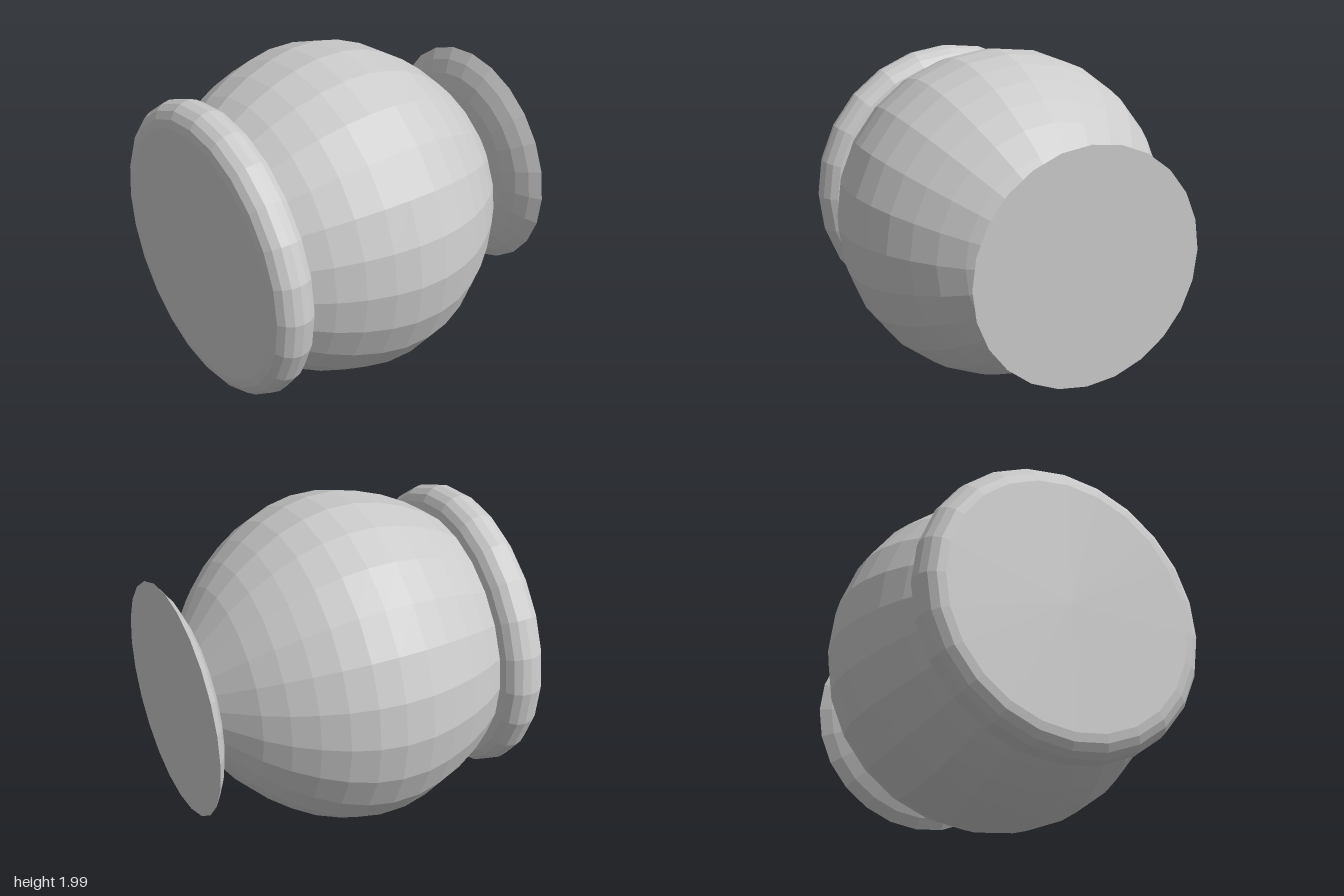
import * as THREE from 'three';

const SIDES = 24;

export function createModel() {
  const model = new THREE.Group();
  const material = new THREE.MeshStandardMaterial({ color: 0xcccccc, flatShading: true });

  // Turns a profile of [radius, z] pairs, listed back to front, around the z axis
  function turned(name, profile) {
    const points = profile.map(([r, z]) => new THREE.Vector2(r, z));
    const geometry = new THREE.LatheGeometry(points, SIDES);
    geometry.rotateX(Math.PI / 2);
    const mesh = new THREE.Mesh(geometry, material);
    mesh.name = name;
    mesh.position.y = 0.995;
    model.add(mesh);
  }

  // Round body, open where the neck and front plate cover it
  turned('roundBody', [
    [0.36, -0.88], [0.48, -0.79], [0.6, -0.7], [0.72, -0.58], [0.82, -0.45],
    [0.905, -0.31], [0.965, -0.16], [0.995, -0.01], [0.995, 0.16],
    [0.965, 0.31], [0.91, 0.47], [0.835, 0.62], [0.755, 0.74],
  ]);

  // Flared base at the back, closed by a flat disc
  turned('backFlare', [
    [0, -1], [0.7, -1], [0.636, -0.953], [0.556, -0.915], [0.46, -0.89], [0.36, -0.88],
  ]);

  // Front plate with a half-round rim
  const plate = [[0, 0.74]];
  for (let i = 0; i <= 8; i++) {
    const a = -Math.PI / 2 + (i / 8) * Math.PI;
    plate.push([0.757 + 0.13 * Math.cos(a), 0.87 + 0.13 * Math.sin(a)]);
  }
  plate.push([0, 1]);
  turned('frontPlate', plate);

  return model;
}
